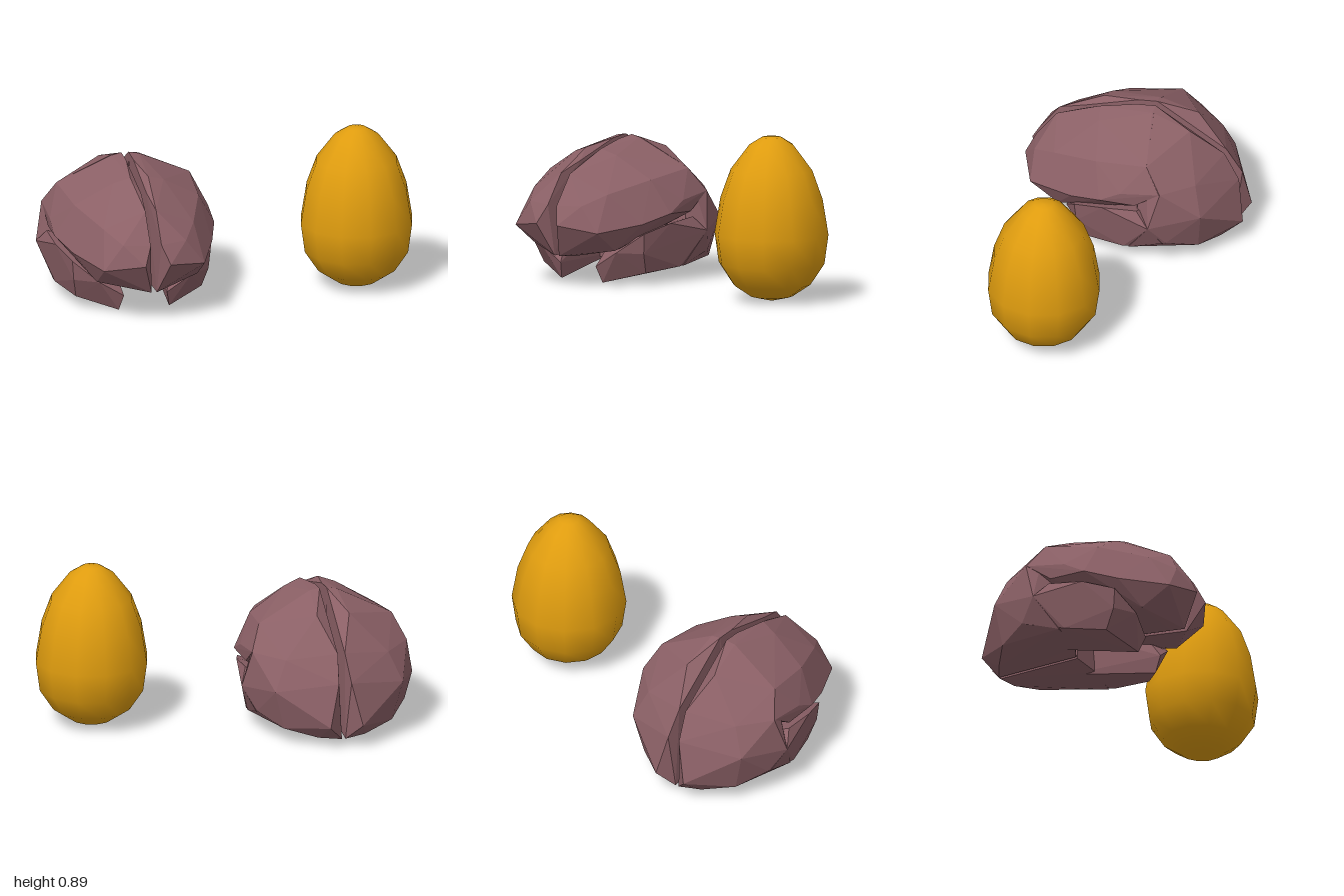
import * as THREE from 'three';
import { ConvexGeometry } from 'three/addons/geometries/ConvexGeometry.js';

const MID_X = -0.525; // plane between the two hemispheres

// Lobe corner points: distance outward from the mid plane, y, z
const LOBES = {
  frontalLobe: [
    // medial rim
    [0.02, 0.75, 0], [0.02, 0.76, -0.105], [0.05, 0.72, 0.2], [0.015, 0.66, 0.3],
    [0.03, 0.61, 0.445], [0.03, 0.45, 0.56], [0.07, 0.35, 0.61], [0.01, 0.18, 0.0],
    // crown and outer side
    [0.075, 0.75, -0.1], [0.09, 0.68, -0.315], [0.14, 0.69, 0.18], [0.37, 0.605, -0.15],
    [0.345, 0.57, 0.14], [0.25, 0.51, 0.4], [0.175, 0.455, 0.53], [0.43, 0.475, -0.235],
    [0.44, 0.45, -0.02],
    // lower edge and underside
    [0.43, 0.38, -0.1], [0.445, 0.39, 0.095], [0.388, 0.345, 0.27], [0.28, 0.315, 0.525],
    [0.28, 0.205, 0.37], [0.015, 0.17, 0.52], [0.06, 0.165, 0.445], [0.25, 0.22, 0.2],
  ],
  occipitalLobe: [
    // medial rim
    [0.02, 0.76, -0.105], [0.02, 0.515, -0.49], [0.035, 0.37, -0.575],
    [0.09, 0.135, -0.612], [0.01, 0.045, -0.54], [0.01, 0.1, -0.1],
    // crown and outer side
    [0.075, 0.75, -0.11], [0.09, 0.68, -0.315], [0.37, 0.605, -0.15], [0.285, 0.47, -0.4],
    [0.43, 0.475, -0.24], [0.355, 0.31, -0.447], [0.475, 0.27, -0.185], [0.41, 0.15, -0.27],
    // base
    [0.3, 0.09, -0.42], [0.13, 0.05, -0.5], [0.41, 0.085, -0.06], [0.17, 0.08, -0.05],
  ],
  temporalLobe: [
    // outer side and upper edge along the fissure
    [0.475, 0.27, -0.185], [0.41, 0.14, -0.25], [0.435, 0.35, -0.11], [0.435, 0.335, 0.08],
    [0.385, 0.29, 0.25], [0.375, 0.18, 0.24], [0.255, 0.185, 0.33],
    // tip and base
    [0.12, 0.1, 0.335], [0.14, 0.01, 0.3], [0.35, 0.068, 0.19], [0.41, 0.085, -0.03],
    [0.17, 0.06, 0.02], [0.17, 0.09, -0.2],
    // inner side
    [0.14, 0.18, 0.28], [0.15, 0.25, 0.0], [0.17, 0.25, -0.2],
  ],
};

// Egg outline: radius, y
const EGG_PROFILE = [
  [0, 0], [0.115, 0.027], [0.212, 0.092], [0.288, 0.207], [0.31, 0.367],
  [0.278, 0.56], [0.222, 0.715], [0.12, 0.85], [0.053, 0.892], [0, 0.895],
];

export function createModel() {
  const model = new THREE.Group();
  model.name = 'brainAndEgg';

  const brainMaterial = new THREE.MeshStandardMaterial({ color: 0x8b6066, flatShading: true });
  brainMaterial.name = 'dusky mauve';
  const eggMaterial = new THREE.MeshStandardMaterial({ color: 0xe09d0f });
  eggMaterial.name = 'amber';

  // Brain: two mirrored hemispheres, each of three faceted lobes
  const brain = new THREE.Group();
  brain.name = 'brain';
  brain.position.x = MID_X;
  for (const side of [1, -1]) {
    const hemisphere = new THREE.Group();
    hemisphere.name = side > 0 ? 'leftHemisphere' : 'rightHemisphere';
    for (const [name, points] of Object.entries(LOBES)) {
      const corners = points.map(([out, y, z]) => new THREE.Vector3(side * out, y, z));
      const lobe = new THREE.Mesh(new ConvexGeometry(corners), brainMaterial);
      lobe.name = name;
      hemisphere.add(lobe);
    }
    brain.add(hemisphere);
  }
  model.add(brain);

  // Egg: smooth twelve-sided lathe
  const profile = EGG_PROFILE.map(([r, y]) => new THREE.Vector2(r, y));
  const egg = new THREE.Mesh(new THREE.LatheGeometry(profile, 12), eggMaterial);
  egg.name = 'egg';
  egg.position.set(0.688, 0, 0.19);
  model.add(egg);

  return model;
}
